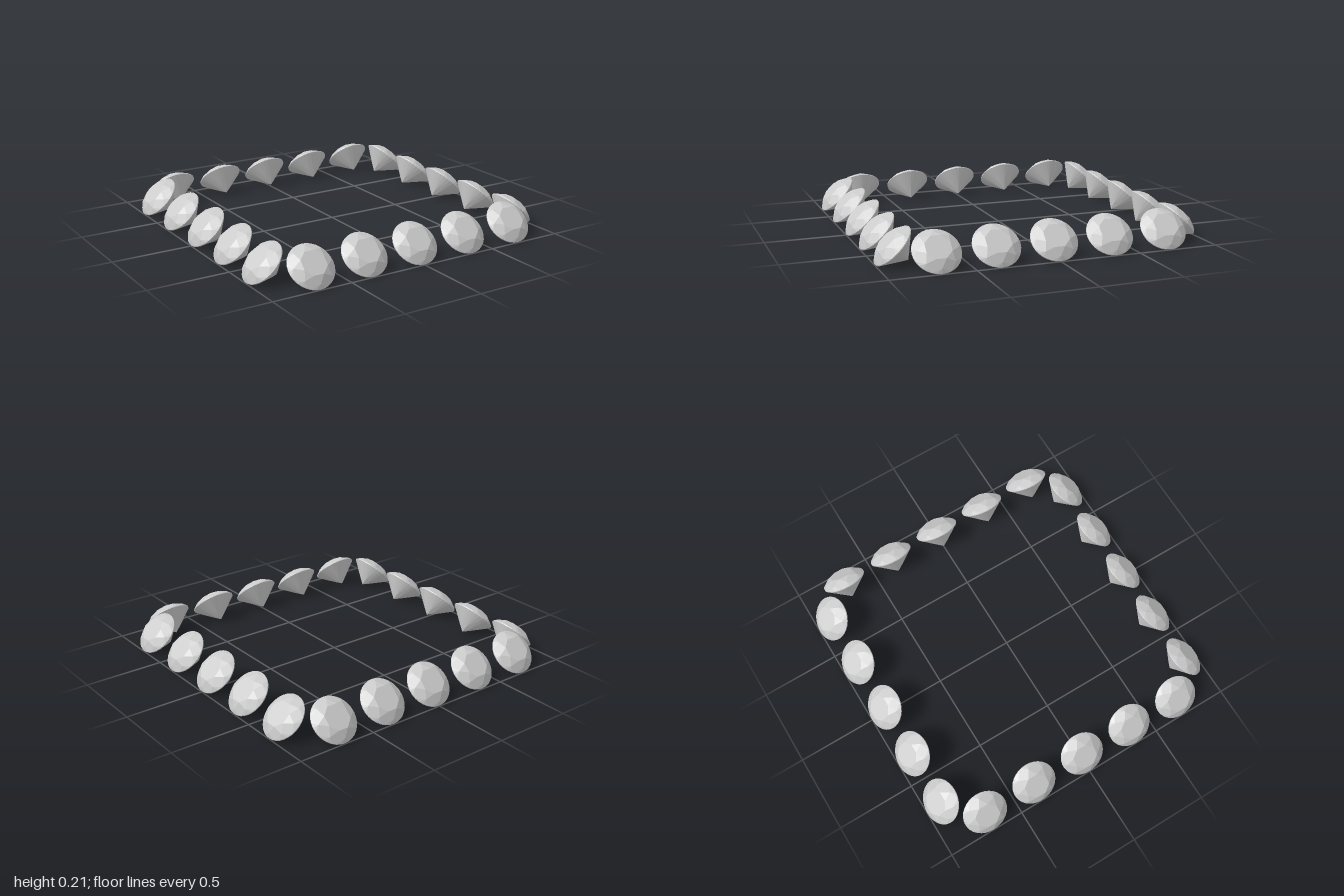
import * as THREE from 'three';
import { ConvexGeometry } from 'three/addons/geometries/ConvexGeometry.js';

const R = 0.1425;       // girdle radius
const GIRDLE = 0.006;   // girdle thickness
const CROWN = 0.045;    // crown height
const DEPTH = 0.125;    // pavilion depth
const TABLE = 0.08;     // table radius

// Ring of points around the gem's axis
function ring(count, radius, y, offset = 0) {
  return Array.from({ length: count }, (_, i) => {
    const a = (i / count) * Math.PI * 2 + offset;
    return new THREE.Vector3(Math.cos(a) * radius, y, Math.sin(a) * radius);
  });
}

// Round brilliant cut: the facets are the hull of its rings
function brilliantGeometry() {
  const half = GIRDLE / 2, step = Math.PI / 8, c = Math.cos(step);
  const starR = (TABLE + R) / 2 / c;
  const starY = half + CROWN / 2;
  const lowerR = 0.25 * R;
  const lowerY = -half - DEPTH * (1 - (lowerR * c) / R);
  const geometry = new ConvexGeometry([
    ...ring(8, TABLE, half + CROWN, step),
    ...ring(8, starR, starY),
    ...ring(32, R, half),
    ...ring(32, R, -half),
    ...ring(8, lowerR, lowerY),
    new THREE.Vector3(0, -half - DEPTH, 0),
  ]);
  return geometry;
}

export function createModel() {
  const model = new THREE.Group();
  model.name = 'gemFrame';
  const geometry = brilliantGeometry();
  const material = new THREE.MeshStandardMaterial({ color: 0xcccccc, flatShading: true });

  // Four rows of five gems, each tilted up and outward
  const reach = (R + GIRDLE / 2) * Math.SQRT1_2;
  ['front', 'left', 'back', 'right'].forEach((side, k) => {
    const row = new THREE.Group();
    row.name = `${side}Row`;
    row.rotation.y = (k * Math.PI) / 2;
    for (let i = -2; i <= 2; i++) {
      const gem = new THREE.Mesh(geometry, material);
      gem.name = `${side}Gem${i + 3}`;
      gem.position.set(i * 0.35, reach, 1 - reach);
      gem.rotation.x = Math.PI / 4;
      row.add(gem);
    }
    model.add(row);
  });
  return model;
}
